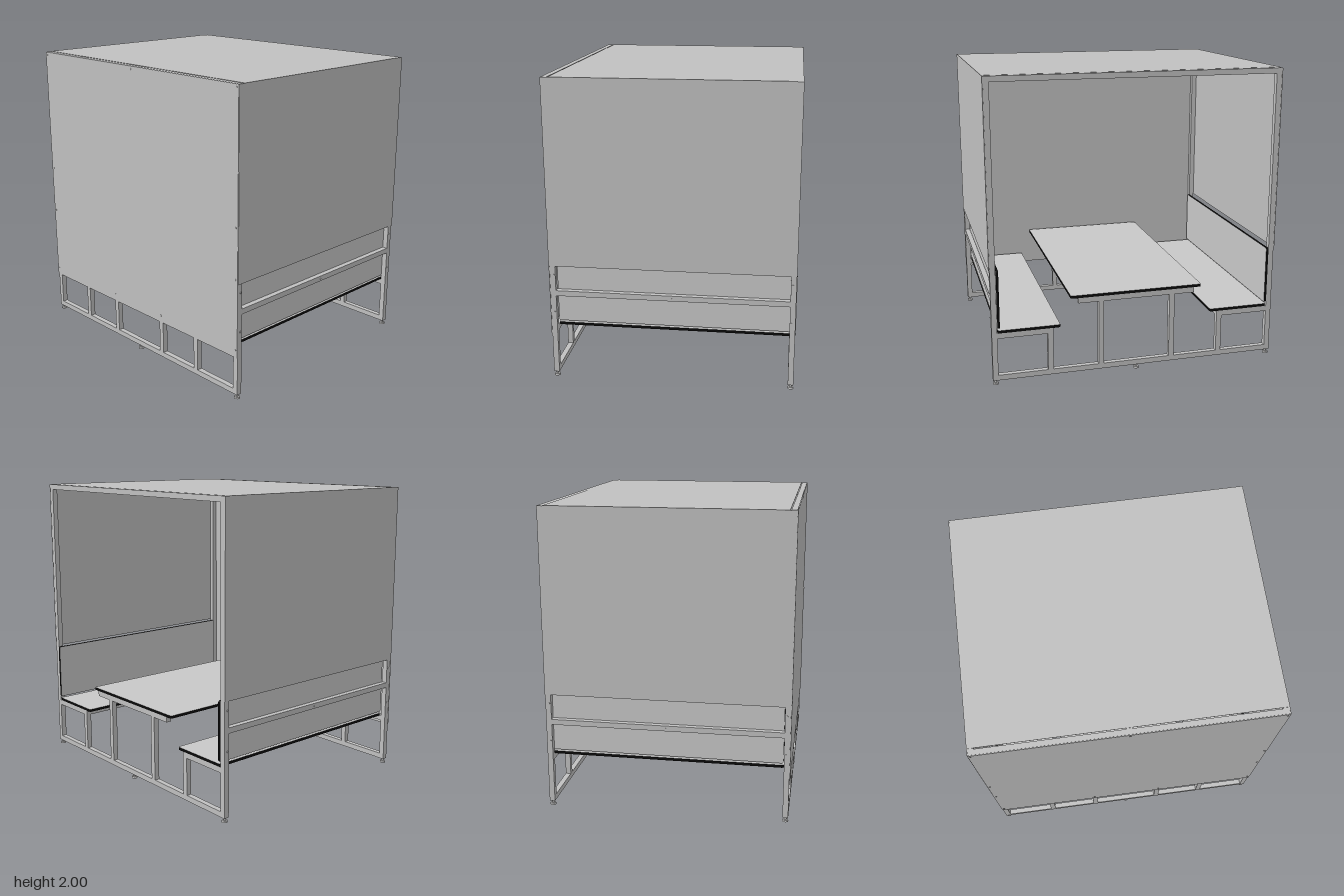
import * as THREE from 'three';

export function createModel() {
  const model = new THREE.Group();
  model.name = 'seatingBooth';
  const mat = (name, color) => {
    const m = new THREE.MeshStandardMaterial({ color });
    m.name = name;
    return m;
  };
  const steel = mat('light grey steel', 0xc0c0c0);
  const board = mat('pale grey board', 0xc8c8c8);
  const edge = mat('black board edge', 0x0a0a0a);

  const T = 0.036; // frame tube width
  const PX = 0.952, PZ = 0.776; // corner post centres

  const add = (name, geo, material, x, y, z) => {
    const m = new THREE.Mesh(geo, material);
    m.name = name;
    m.position.set(x, y, z);
    model.add(m);
    return m;
  };
  // Box given by its lower and upper limits
  const box = (name, x0, x1, y0, y1, z0, z1) =>
    add(name, new THREE.BoxGeometry(x1 - x0, y1 - y0, z1 - z0), steel,
      (x0 + x1) / 2, (y0 + y1) / 2, (z0 + z1) / 2);
  const upright = (name, x, z, y0, y1) => box(name, x - T / 2, x + T / 2, y0, y1, z - T / 2, z + T / 2);
  const railX = (name, x0, x1, y0, z) => box(name, x0, x1, y0, y0 + T, z - T / 2, z + T / 2);
  const railZ = (name, x, y0) => box(name, x - T / 2, x + T / 2, y0, y0 + T, -PZ + T / 2, PZ - T / 2);

  // Board with rounded corners and a black rim, lying in local XY
  const slab = (name, w, h, t) => {
    const r = 0.015, a = w / 2, b = h / 2;
    const s = new THREE.Shape();
    s.moveTo(-a + r, -b);
    s.lineTo(a - r, -b);
    s.quadraticCurveTo(a, -b, a, -b + r);
    s.lineTo(a, b - r);
    s.quadraticCurveTo(a, b, a - r, b);
    s.lineTo(-a + r, b);
    s.quadraticCurveTo(-a, b, -a, b - r);
    s.lineTo(-a, -b + r);
    s.quadraticCurveTo(-a, -b, -a + r, -b);
    const g = new THREE.ExtrudeGeometry(s, { depth: t, bevelEnabled: false, curveSegments: 4 });
    g.translate(0, 0, -t / 2);
    return add(name, g, [board, edge], 0, 0, 0);
  };

  // Small round bolt head facing x or z
  const bolt = (x, y, z, alongX) => {
    const m = add('bolt', new THREE.CylinderGeometry(0.006, 0.006, 0.006, 10), steel, x, y, z);
    if (alongX) m.rotation.z = Math.PI / 2;
    else m.rotation.x = Math.PI / 2;
  };

  // Front and back frames
  for (const z of [PZ, -PZ]) {
    railX('bottomRail', -PX + T / 2, PX - T / 2, 0.03, z);
    railX('topRail', -0.97, 0.97, 1.963, z);
    railX('tableCrossbar', -0.4, 0.4, 0.509, z);
    for (const s of [1, -1]) {
      upright('cornerPost', s * PX, z, 0.03, 1.963);
      upright('seatLeg', s * 0.587, z, 0.066, 0.32);
      upright('tableLeg', s * 0.245, z, 0.066, 0.509);
      const a = s * 0.569, b = s * (PX - T / 2);
      railX('seatBearer', Math.min(a, b), Math.max(a, b), 0.32, z);
    }
    // Levelling feet
    for (const x of [-PX, 0, PX]) {
      add('footPad', new THREE.CylinderGeometry(0.018, 0.02, 0.012, 16), steel, x, 0.006, z);
      add('footStem', new THREE.CylinderGeometry(0.008, 0.008, 0.02, 10), steel, x, 0.021, z);
    }
  }

  // Rails running front to back, benches and side walls
  for (const s of [1, -1]) {
    railZ('roofSideRail', s * PX, 1.96);
    railZ('sideRail', s * PX, 0.574);
    railZ('seatRail', s * 0.587, 0.32);
    railZ('seatRail', s * 0.8, 0.32);

    const outer = s * 0.9705, inner = s * 0.975;
    box('sidePanel', Math.min(outer, inner), Math.max(outer, inner), 0.78, 1.998, -0.795, 0.795);

    const seat = slab('seat', 0.41, 1.552, 0.018);
    seat.rotation.x = -Math.PI / 2;
    seat.position.set(s * 0.725, 0.366, -0.02);

    const back = slab('backrest', 1.552, 0.39, 0.016);
    back.rotation.y = Math.PI / 2;
    back.position.set(s * 0.924, 0.583, -0.022);

    for (const z of [-0.77, 0.77]) for (const y of [0.46, 0.72]) bolt(s * 0.972, y, z, true);
    bolt(s * 0.972, 0.59, 0, true);
    for (const y of [0.34, 0.81, 1.14, 1.98]) bolt(s * 0.955, y, 0.799, false);
    bolt(s * 0.25, 0.34, 0.799, false);
  }
  bolt(0, 1.98, 0.799, false);
  railZ('roofMiddleRail', 0, 1.96);

  // Table
  const table = slab('tableTop', 0.9, 1.57, 0.018);
  table.rotation.x = -Math.PI / 2;
  table.position.set(0, 0.555, -0.011);

  // Front wall and roof sheets
  box('frontPanel', -0.972, 0.972, 0.29, 1.998, 0.7945, 0.799);
  box('roofPanel', -0.975, 0.975, 1.9965, 2, -0.758, 0.752);

  return model;
}
